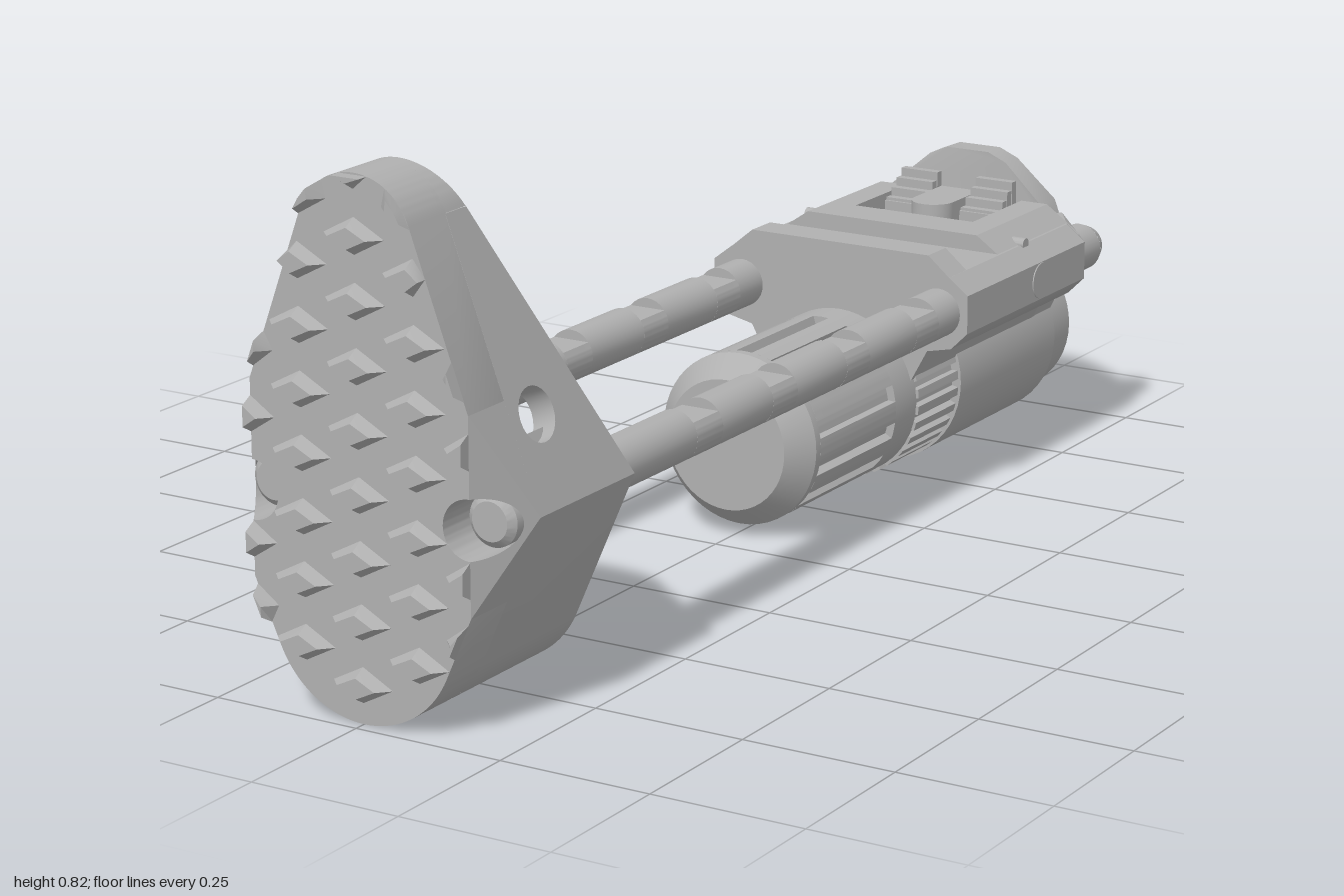
import * as THREE from 'three';
import { toCreasedNormals } from 'three/addons/utils/BufferGeometryUtils.js';

const ROD = { x: 0.19, y: 0.325, r: 0.041 };
const AXIS_Y = 0.16; // height of the tube axis
const TIP = { x: 0.25, y: 0.33 }; // widest point of the end piece
const A_UP = Math.atan2(0.165, 0.45), A_LOW = Math.atan2(0.11, 0.25);

const backZ = (y) => 0.64 + Math.max(0, y - 0.34) * 0.479;
// half width of the end piece at height y
function halfWidth(y) {
  if (y > 0.754) return Math.sqrt(Math.max(0, 0.01 - (y - 0.72) ** 2));
  if (y < 0.096) return Math.sqrt(Math.max(0, 0.0256 - (y - 0.16) ** 2));
  return y > TIP.y ? TIP.x - (y - TIP.y) * 0.367 : TIP.x - (TIP.y - y) * 0.44;
}
const poly = (pts) => new THREE.Shape(pts.map(([x, y]) => new THREE.Vector2(x, y)));
const circle = (x, y, r) => new THREE.Path().absarc(x, y, r, 0, Math.PI * 2, false);

// extrude a front-facing shape from z0 to z1, optionally bending its vertices by a rule
function ext(shape, z0, z1, segs = 16, rule) {
  const g = new THREE.ExtrudeGeometry(shape, { depth: z1 - z0, bevelEnabled: false, curveSegments: segs });
  g.translate(0, 0, z0);
  if (rule) {
    const p = g.attributes.position, v = new THREE.Vector3();
    for (let i = 0; i < p.count; i++) {
      rule(v.fromBufferAttribute(p, i));
      p.setXYZ(i, v.x, v.y, v.z);
    }
  }
  return g;
}
function lathe(pts, y = AXIS_Y, x = 0) {
  const g = new THREE.LatheGeometry(pts.map(([r, z]) => new THREE.Vector2(r, z)), 48);
  return g.rotateX(Math.PI / 2).translate(x, y, 0);
}
function box(x0, x1, y0, y1, z0, z1) {
  return new THREE.BoxGeometry(x1 - x0, y1 - y0, z1 - z0)
    .translate((x0 + x1) / 2, (y0 + y1) / 2, (z0 + z1) / 2);
}
// mirrored copy across x = 0 with the corner order restored
function mirrored(geo) {
  const g = geo.index ? geo.toNonIndexed() : geo.clone();
  const p = g.attributes.position, a = new THREE.Vector3(), b = new THREE.Vector3();
  for (let i = 0; i < p.count; i += 3) {
    a.fromBufferAttribute(p, i); b.fromBufferAttribute(p, i + 1);
    p.setXYZ(i, -b.x, b.y, b.z); p.setXYZ(i + 1, -a.x, a.y, a.z);
    p.setX(i + 2, -p.getX(i + 2));
  }
  return g;
}
// round section with n lengthwise grooves
function grooved(n, r, depth, half) {
  const s = new THREE.Shape(), step = Math.PI * 2 / n;
  for (let i = 0; i < n; i++) {
    const a = Math.PI / 2 + i * step;
    s.absarc(0, AXIS_Y, r - depth, a - half * 0.8, a + half * 0.8, false);
    s.absarc(0, AXIS_Y, r, a + half, a + step - half, false);
  }
  return s;
}

export function createModel() {
  const model = new THREE.Group();
  const grey = new THREE.MeshStandardMaterial({ color: 0xb0b0b0 });
  grey.name = 'metalGrey';
  const add = (name, geo, parent = model) => {
    const m = new THREE.Mesh(toCreasedNormals(geo, 0.6), grey);
    m.name = name;
    parent.add(m);
  };
  const pair = (name, geo, parent) => {
    add('left' + name, geo, parent);
    add('right' + name, mirrored(geo), parent);
  };
  const group = (name) => {
    const g = new THREE.Group();
    g.name = name;
    model.add(g);
    return g;
  };

  // --- End piece: lower body with a round socket
  const end = group('endPiece');
  const lower = new THREE.Shape();
  lower.moveTo(TIP.x, TIP.y);
  lower.lineTo(-TIP.x, TIP.y);
  lower.absarc(0, 0.16, 0.16, Math.PI + A_LOW, Math.PI * 2 - A_LOW, false);
  lower.lineTo(TIP.x, TIP.y);
  lower.holes.push(circle(0, AXIS_Y, 0.143));
  add('lowerBody', ext(lower, 0.64, 0.89, 24), end);

  // sloping side walls, each pierced by a round hole
  const wall = poly([[0.64, 0], [0.89, 0], [0.89, 0.4515], [backZ(0.754), 0.4515]]);
  wall.holes.push(circle(0.825, 0.138, 0.042));
  const wallGeo = new THREE.ExtrudeGeometry(wall, { depth: 0.04, bevelEnabled: false, curveSegments: 12 });
  const c = Math.cos(A_UP), s = Math.sin(A_UP);
  wallGeo.applyMatrix4(new THREE.Matrix4().makeBasis(
    new THREE.Vector3(0, 0, 1), new THREE.Vector3(-s, c, 0), new THREE.Vector3(-c, -s, 0)
  ).setPosition(TIP.x, TIP.y, 0));
  pair('SideWall', wallGeo, end);

  // rounded crown and lower corner fillets follow the slanted back
  const slant = (v) => { if (v.z < 0.8) v.z = backZ(v.y); };
  const crown = new THREE.Shape();
  crown.absarc(0, 0.72, 0.1, A_UP, Math.PI - A_UP, false);
  crown.absarc(0, 0.72, 0.06, Math.PI - A_UP, A_UP, true);
  add('crown', ext(crown, 0.7, 0.89, 16, slant), end);
  pair('Fillet', ext(poly([[0.235, 0.33], [0.19, 0.43], [0.15, 0.37], [0.07, 0.33]]), 0.64, 0.89, 4, slant), end);

  // front plate: middle, and bevelled cheeks with rod bores
  const yT = TIP.y + 0.06 / 0.367, yB = TIP.y - 0.06 / 0.44, bore = 0.046;
  const plate = new THREE.Shape();
  plate.absarc(0, 0.16, 0.16, Math.PI + A_LOW, Math.PI * 2 - A_LOW, false);
  plate.lineTo(ROD.x, yB);
  plate.absarc(ROD.x, ROD.y, bore, -Math.PI / 2, Math.PI / 2, true);
  plate.lineTo(ROD.x, yT);
  plate.absarc(0, 0.72, 0.1, A_UP, Math.PI - A_UP, false);
  plate.lineTo(-ROD.x, yT);
  plate.absarc(-ROD.x, ROD.y, bore, Math.PI / 2, -Math.PI / 2, true);
  plate.lineTo(-ROD.x, yB);
  add('frontPlate', ext(plate, 0.888, 0.98, 20), end);
  const cheek = new THREE.Shape();
  cheek.moveTo(ROD.x, yB);
  cheek.lineTo(TIP.x, TIP.y);
  cheek.lineTo(ROD.x, yT);
  cheek.absarc(ROD.x, ROD.y, bore, Math.PI / 2, -Math.PI / 2, true);
  pair('Cheek', ext(cheek, 0.885, 0.98, 16, (v) => {
    if (v.z > 0.95) v.z = 0.89 + (TIP.x - v.x) * 1.5;
  }), end);

  // raised diamond studs, clipped to the plate's outline
  const tread = group('tread');
  const stud = (x, y) => ext(poly([[1, 0], [0, 1], [-1, 0], [0, -1]]), 0.979, 1, 1, (v) => {
    const top = v.z > 0.99;
    v.y = THREE.MathUtils.clamp(y + v.y * (top ? 0.016 : 0.028), 0.004, 0.817);
    const w = Math.min(0.19, halfWidth(v.y));
    v.x = THREE.MathUtils.clamp(x + v.x * (top ? 0.033 : 0.053), -w, w);
  });
  for (let i = 0; i < 9; i++) add('stud', stud(0, 0.06 + i * 0.0955), tread);
  for (let i = 0; i < 8; i++) pair('Stud', stud(0.1, 0.108 + i * 0.0955), tread);
  for (const y of [0.155, 0.25, 0.44, 0.54]) pair('EdgeStud', stud(0.2, y), tread);

  // --- Guide rods with flat notches along the top
  const rods = group('guideRods');
  const round = new THREE.Shape().absarc(ROD.x, ROD.y, ROD.r, 0, Math.PI * 2, false);
  const flat = new THREE.Shape().absarc(ROD.x, ROD.y, ROD.r, Math.PI - 0.65, Math.PI * 2 + 0.65, false);
  let z = -0.92;
  for (const n of [-0.29, -0.06, 0.17, 0.395]) {
    pair('RodLength', ext(round, z, n - 0.037, 14), rods);
    pair('RodNotch', ext(flat, n - 0.037, n + 0.037, 28), rods);
    z = n + 0.037;
  }
  pair('RodLength', ext(round, z, 0.92, 14), rods);
  pair('RodFrontEnd', lathe([[ROD.r, 0.92], [0.03, 0.93], [0, 0.93]], ROD.y, ROD.x), rods);
  pair('RodRearEnd', lathe([[0, -0.945], [0.032, -0.945], [ROD.r, -0.92]], ROD.y, ROD.x), rods);

  // --- Tube: open rear collar, barrel, knurled ring and fluted cap
  const tube = group('tube');
  add('barrel', lathe([[0, -0.6], [0.116, -0.6], [0.116, -1], [0.13, -1], [0.138, -0.99],
    [0.138, -0.9], [0.155, -0.9], [0.155, -0.55], [0, -0.55]]), tube);
  add('knurledRing', ext(grooved(32, 0.15, 0.012, 0.05), -0.55, -0.41, 2), tube);
  add('capRear', lathe([[0, -0.411], [0.145, -0.411], [0.145, -0.34], [0, -0.34]]), tube);
  add('capFlutes', ext(grooved(14, 0.145, 0.014, 0.1), -0.34, -0.09, 4), tube);
  add('capFront', lathe([[0, -0.09], [0.145, -0.09], [0.145, -0.075], [0.11, -0.032], [0, -0.032]]), tube);

  // --- Housing that carries the rods above the tube
  const housing = group('housing');
  const sleeve = poly([[0.14, 0.2], [0.17, 0.255], [0.215, 0.265], [0.245, 0.295], [0.245, 0.36], [0.21, 0.387],
    [-0.21, 0.387], [-0.245, 0.36], [-0.245, 0.295], [-0.215, 0.265], [-0.17, 0.255], [-0.14, 0.2]]);
  sleeve.absarc(0, AXIS_Y, 0.141, Math.PI - 0.3, 0.3, true);
  add('sleeveBody', ext(sleeve, -0.83, -0.4), housing);
  add('rearBody', ext(sleeve, -0.9, -0.83, 12, (v) => {
    if (v.z < -0.87) v.x = THREE.MathUtils.clamp(v.x, -0.165, 0.165);
  }), housing);

  // raised deck on top, leaving a central pocket
  add('frontBand', ext(poly([[0.23, 0.37], [0.17, 0.42], [-0.17, 0.42], [-0.23, 0.37]]), -0.46, -0.4), housing);
  add('deckBridge', ext(poly([[0.23, 0.37], [0.165, 0.415], [-0.165, 0.415], [-0.23, 0.37]]), -0.66, -0.58), housing);
  pair('DeckRail', ext(poly([[0.115, 0.37], [0.23, 0.37], [0.165, 0.415], [0.115, 0.415]]), -0.84, -0.66), housing);
  add('bandStud', new THREE.CylinderGeometry(0.03, 0.03, 0.02, 20).translate(0, 0.39, -0.485), housing);
  add('rearHump', ext(poly([[0.165, 0.37], [0.15, 0.41], [0.075, 0.475], [0.04, 0.49],
    [-0.04, 0.49], [-0.075, 0.475], [-0.15, 0.41], [-0.165, 0.37]]), -0.9, -0.845, 4, (v) => {
    if (v.z > -0.87 && v.y > 0.43) v.z -= 0.01;
  }), housing);

  // release lever with stepped thumb grips
  const lever = group('lever');
  add('leverTongue', box(-0.038, 0.038, 0.38, 0.425, -0.83, -0.73), lever);
  add('leverTip', new THREE.CylinderGeometry(0.038, 0.038, 0.045, 20).translate(0, 0.4025, -0.73), lever);
  for (let i = 0; i < 4; i++) {
    pair('LeverRidge', box(0.038, 0.11, 0.38, 0.41 + i * 0.014, -0.775 - i * 0.018, -0.76 - i * 0.018), lever);
  }
  pair('LeverBase', box(0.03, 0.11, 0.38, 0.405, -0.84, -0.755), lever);

  // side pins
  const pin = (r, x, y) => new THREE.CylinderGeometry(r, r, 0.03, 20).rotateZ(Math.PI / 2).translate(x, y, -0.665);
  pair('SidePin', pin(0.031, 0.232, 0.328), housing);
  pair('SmallPin', pin(0.011, 0.2, 0.387), housing);

  return model;
}
